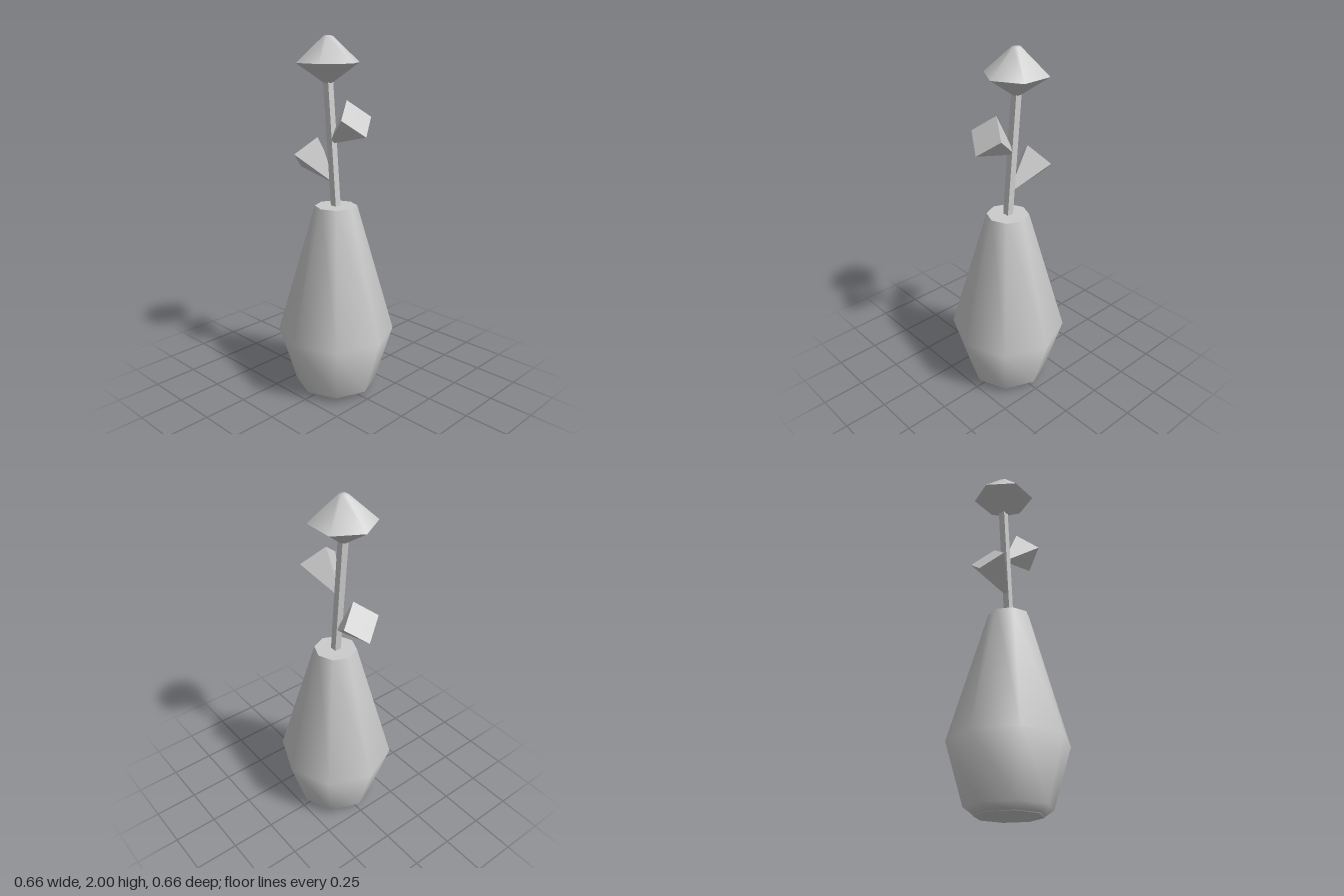
import * as THREE from 'three';

export function createModel() {
  const group = new THREE.Group();
  const grey = new THREE.MeshStandardMaterial({ color: 0xcccccc });

  const add = (name, geometry) => {
    const mesh = new THREE.Mesh(geometry, grey);
    mesh.name = name;
    group.add(mesh);
    return mesh;
  };
  const lathe = (points, sides, start = 0) =>
    new THREE.LatheGeometry(points.map(([r, y]) => new THREE.Vector2(r, y)), sides, start);
  const faceted = (geometry) => {
    const flat = geometry.toNonIndexed();
    flat.computeVertexNormals();
    return flat;
  };
  // Places a mesh built along +y so that it runs between two points in the xy plane
  const span = (mesh, [x0, y0], [x1, y1]) => {
    mesh.position.set((x0 + x1) / 2, (y0 + y1) / 2, 0);
    mesh.rotation.z = Math.atan2(x0 - x1, y1 - y0);
  };
  const distance = ([x0, y0], [x1, y1]) => Math.hypot(x1 - x0, y1 - y0);

  // Eight-sided vase with smooth walls and a flat closed top
  add('vase', lathe([[0, 0.005], [0.18, 0.005], [0.23, 0.04], [0.328, 0.365], [0.117, 1.097]], 8));
  add('vaseBase', lathe([[0, 0], [0.178, 0], [0.18, 0.005]], 8));
  const top = add('vaseTop', new THREE.CircleGeometry(0.117, 8));
  top.rotation.x = -Math.PI / 2;
  top.position.y = 1.097;

  // Square stem leaning to the right
  const root = [0, 1.07], tip = [-0.06, 1.78];
  span(add('stem', new THREE.BoxGeometry(0.038, distance(root, tip), 0.038)), root, tip);

  // Two pyramid leaves, pointed at the stem and wide at the outer end
  const leaves = [
    ['leftLeaf', [-0.028, 1.45], [0.147, 1.585]],
    ['rightLeaf', [-0.031, 1.235], [-0.21, 1.368]],
  ];
  for (const [name, inner, outer] of leaves) {
    const leaf = new THREE.CylinderGeometry(0.114, 0.014, distance(inner, outer), 4);
    span(add(name, faceted(leaf)), inner, outer);
  }

  // Six-sided flower head, creased at the rim
  const head = [
    ['flowerBottom', [[0, 1.755], [0.022, 1.755], [0.174, 1.86]]],
    ['flowerTop', [[0.174, 1.86], [0.025, 1.995], [0, 2]]],
  ];
  for (const [name, points] of head) {
    add(name, lathe(points, 6, Math.PI / 2)).position.x = -0.058;
  }

  return group;
}
